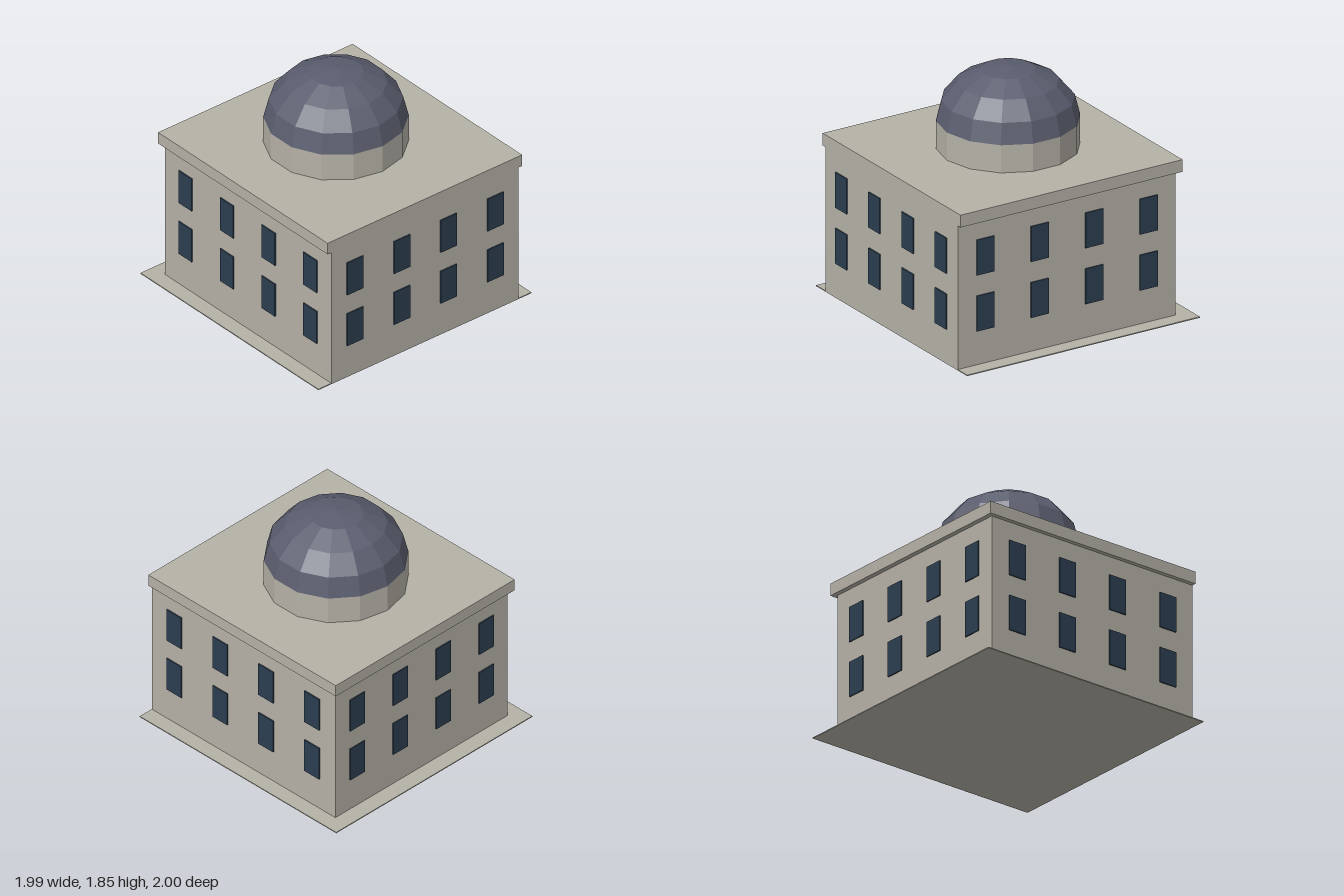
import * as THREE from 'three';

export function createModel() {
  const model = new THREE.Group();
  model.name = 'domedBuilding';

  const mat = (name, color) => {
    const m = new THREE.MeshStandardMaterial({ color, flatShading: true });
    m.name = name;
    return m;
  };
  const stone = mat('stone', 0xb5b1a7);
  const slate = mat('slate', 0x5a5d6e);
  const glass = mat('glass', 0x2c3e50);

  const add = (parent, name, geometry, material, x = 0, y = 0, z = 0) => {
    const mesh = new THREE.Mesh(geometry, material);
    mesh.name = name;
    mesh.position.set(x, y, z);
    parent.add(mesh);
    return mesh;
  };

  // Box running from back to the shared, flush front plane
  const front = 0.99;
  const slab = (name, halfWidth, back, y0, y1) =>
    add(model, name, new THREE.BoxGeometry(halfWidth * 2, y1 - y0, front - back),
      stone, 0, (y0 + y1) / 2, (front + back) / 2);

  const halfX = 0.873, back = -0.87, baseTop = 0.008;
  slab('basePlate', 0.995, -1, 0, baseTop);
  slab('walls', halfX, back, baseTop, 1.125);
  slab('cornice', 0.908, -0.908, 1.125, 1.22);

  // Windows: two rows of four on each wall
  const depth = 0.0095;
  const pane = new THREE.BoxGeometry(0.15, 0.275, depth);
  const midZ = (front + back) / 2, halfZ = (front - back) / 2;
  const sides = [
    ['frontWindows', 0, halfZ, halfX],
    ['leftWindows', Math.PI / 2, halfX, halfZ],
    ['backWindows', Math.PI, halfZ, halfX],
    ['rightWindows', -Math.PI / 2, halfX, halfZ],
  ];
  for (const [name, turn, distance, halfLength] of sides) {
    const wall = new THREE.Group();
    wall.name = name;
    wall.position.z = midZ;
    wall.rotation.y = turn;
    for (const y of [0.408, 0.843]) {
      for (const step of [-0.75, -0.25, 0.25, 0.75]) {
        add(wall, 'window', pane, glass, step * halfLength, y, distance + depth / 2);
      }
    }
    model.add(wall);
  }

  // Fourteen-sided drum and dome, with a corner facing front and back
  const radius = 0.522, sidesCount = 14, domeZ = -0.005, drumTop = 1.435;
  add(model, 'drum', new THREE.CylinderGeometry(radius, radius, drumTop - 1.22, sidesCount, 1, true),
    stone, 0, (drumTop + 1.22) / 2, domeZ);

  const profile = [];
  for (let i = 0; i <= 4; i++) {
    const a = (i / 4) * Math.PI / 2;
    profile.push(new THREE.Vector2(i === 4 ? 0 : radius * Math.cos(a), 0.41 * Math.sin(a)));
  }
  add(model, 'dome', new THREE.LatheGeometry(profile, sidesCount), slate, 0, drumTop, domeZ);

  return model;
}
